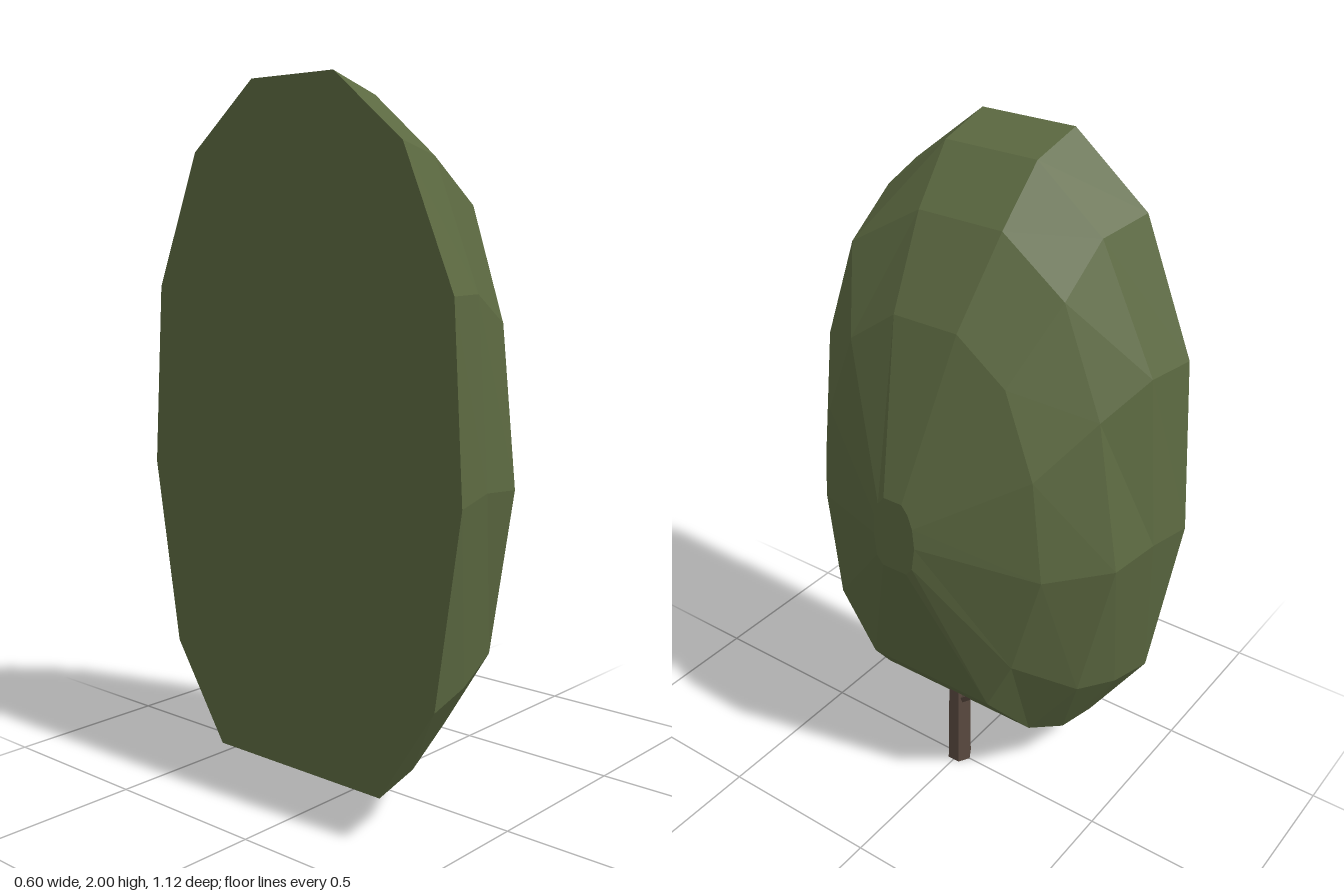
import * as THREE from 'three';

// Crown cross-sections along x: heights from top to bottom, half-widths toward +z and toward -z
const SECTIONS = [
  { x: -0.30, y: [2.00, 1.82, 1.45, 0.94, 0.41, 0.135], front: [0.145, 0.37, 0.53, 0.56, 0.48, 0.30], back: [0.145, 0.37, 0.525, 0.563, 0.48, 0.30] },
  { x: -0.15, y: [1.95, 1.79, 1.45, 0.955, 0.435, 0.165], front: [0.155, 0.35, 0.49, 0.525, 0.46, 0.29], back: [0.13, 0.33, 0.50, 0.545, 0.46, 0.29] },
  { x: 0.00, y: [1.81, 1.67, 1.37, 0.94, 0.485, 0.25], front: [0.13, 0.36, 0.46, 0.505, 0.43, 0.28], back: [0.13, 0.32, 0.44, 0.517, 0.42, 0.26] },
  { x: 0.15, y: [1.58, 1.47, 1.23, 0.93, 0.60, 0.425], front: [0.10, 0.25, 0.34, 0.372, 0.33, 0.21], back: [0.10, 0.25, 0.34, 0.377, 0.29, 0.21] },
  { x: 0.30, y: [1.125, 1.10, 1.06, 1.00, 0.93, 0.905], front: [0.03, 0.05, 0.064, 0.068, 0.06, 0.04], back: [0.03, 0.05, 0.064, 0.07, 0.06, 0.04] },
];

// Closed loop of points: down the +z side, then up the -z side
function loop({ x, y, front, back }) {
  const down = y.map((h, i) => [x, h, front[i]]);
  const up = y.map((h, i) => [x, h, -back[i]]).reverse();
  return [...down, ...up];
}

function crownGeometry() {
  const rings = SECTIONS.map(loop);
  const n = rings[0].length;
  const pos = [];
  const tri = (a, b, c) => pos.push(...a, ...b, ...c);
  // Faceted sides
  for (let i = 0; i < rings.length - 1; i++) {
    for (let j = 0; j < n; j++) {
      const k = (j + 1) % n;
      const a = rings[i][j], b = rings[i][k], c = rings[i + 1][k], d = rings[i + 1][j];
      tri(a, b, c);
      tri(a, c, d);
    }
  }
  // Flat back face and small tip face
  const flat = rings[0], tip = rings[rings.length - 1];
  for (let j = 1; j < n - 1; j++) {
    tri(flat[0], flat[j + 1], flat[j]);
    tri(tip[0], tip[j], tip[j + 1]);
  }
  const geo = new THREE.BufferGeometry();
  geo.setAttribute('position', new THREE.Float32BufferAttribute(pos, 3));
  geo.computeVertexNormals();
  return geo;
}

export function createModel() {
  const leafGreen = new THREE.MeshStandardMaterial({ color: 0x5c6941 });
  leafGreen.name = 'leafGreen';
  leafGreen.flatShading = true;
  const barkBrown = new THREE.MeshStandardMaterial({ color: 0x5a4a40 });
  barkBrown.name = 'barkBrown';
  barkBrown.flatShading = true;

  const model = new THREE.Group();
  model.name = 'halfTree';
  const add = (name, geo, mat) => {
    const mesh = new THREE.Mesh(geo, mat);
    mesh.name = name;
    model.add(mesh);
    return mesh;
  };

  add('crown', crownGeometry(), leafGreen);

  // Six-sided trunk running up into the crown
  add('trunk', new THREE.CylinderGeometry(0.034, 0.039, 0.4, 6), barkBrown).position.y = 0.2;

  // Short branch stub just below the leaves
  const branch = add('branch', new THREE.CylinderGeometry(0.014, 0.018, 0.08, 5), barkBrown);
  branch.position.set(0.01, 0.26, -0.025);
  branch.rotation.x = -0.9;

  return model;
}
